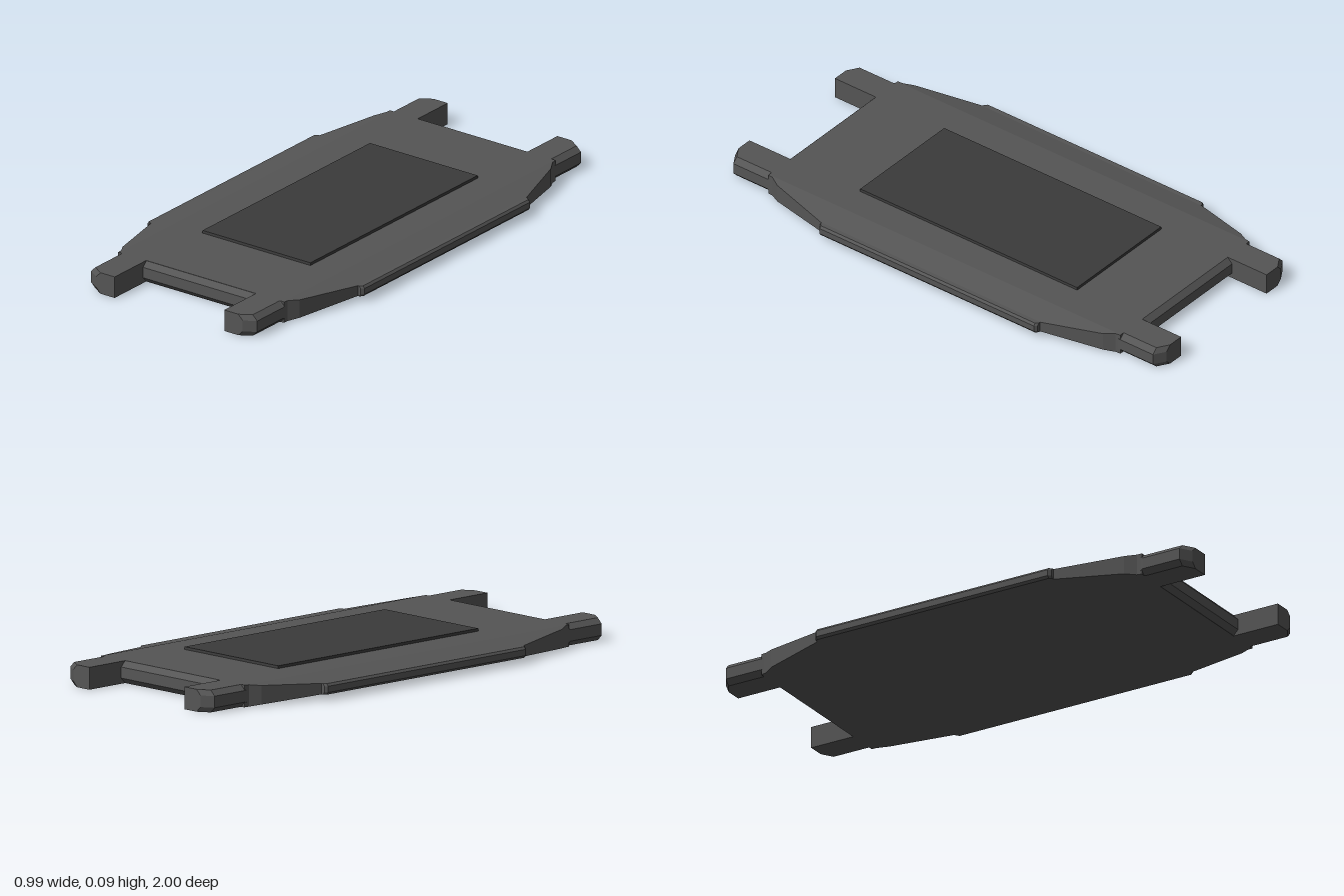
import * as THREE from 'three';

const HEIGHT = 0.083, FLAT = 0.375;
const caseMaterial = new THREE.MeshStandardMaterial({ color: 0x555555, flatShading: true });
const panelMaterial = new THREE.MeshStandardMaterial({ color: 0x3a3a3a, flatShading: true });

// Skins convex cross-sections { z, pts } listed along +z, pts counter-clockwise seen from +z
function loft(name, sections, material = caseMaterial) {
  const pos = [];
  const rings = sections.map(s => s.pts.map(([x, y]) => [x, y, s.z]));
  const tri = (a, b, c) => pos.push(...a, ...b, ...c);
  const n = rings[0].length;
  for (let k = 0; k < rings.length - 1; k++) {
    const a = rings[k], b = rings[k + 1];
    for (let i = 0; i < n; i++) {
      const j = (i + 1) % n;
      tri(a[i], a[j], b[j]);
      tri(a[i], b[j], b[i]);
    }
  }
  const first = rings[0], last = rings[rings.length - 1];
  for (let i = 1; i < n - 1; i++) {
    tri(first[0], first[i + 1], first[i]);
    tri(last[0], last[i], last[i + 1]);
  }
  const geometry = new THREE.BufferGeometry();
  geometry.setAttribute('position', new THREE.Float32BufferAttribute(pos, 3));
  geometry.computeVertexNormals();
  const mesh = new THREE.Mesh(geometry, material);
  mesh.name = name;
  return mesh;
}

const mirrorX = sections => sections.map(s => ({ z: s.z, pts: s.pts.map(([x, y]) => [-x, y]).reverse() }));
const mirrorZ = sections => sections.map(s => ({ z: -s.z, pts: s.pts })).reverse();
const rect = (x0, x1, y0, y1) => [[x0, y0], [x1, y0], [x1, y1], [x0, y1]];

// Body section: flat in the middle, sloping thinner toward the side edges
function bodySection(z, w) {
  const d = (w - FLAT) * 0.22;
  return {
    z,
    pts: [[-FLAT, 0], [FLAT, 0], [w, d], [w, HEIGHT - d],
      [FLAT, HEIGHT], [-FLAT, HEIGHT], [-w, HEIGHT - d], [-w, d]],
  };
}

// Lug section with chamfered outer edges; "inset" pulls in the outer side
function lugSection(z, inset, bevel) {
  const x = 0.379 - inset;
  return {
    z,
    pts: [[0.25, 0], [x - bevel, 0], [x, bevel], [x, HEIGHT - bevel], [x - bevel, HEIGHT], [0.25, HEIGHT]],
  };
}

// Side rail section
function railSection(z, x) {
  return { z, pts: [[0.45, 0.021], [x - 0.007, 0.021], [x, 0.03], [x, 0.053], [x - 0.007, 0.062], [0.45, 0.062]] };
}

export function createModel() {
  const group = new THREE.Group();

  // Main case plate
  const stations = [[-0.82, 0.378], [-0.8, 0.38], [-0.76, 0.403], [-0.52, 0.472],
    [0.49, 0.472], [0.75, 0.403], [0.79, 0.38], [0.81, 0.378]];
  group.add(loft('casePlate', stations.map(([z, w]) => bodySection(z, w))));

  // Bevelled edges between the lugs
  const edge = [
    { z: 0.812, pts: rect(-0.25, 0.25, 0, HEIGHT) },
    { z: 0.832, pts: rect(-0.25, 0.25, 0.021, 0.062) },
  ];
  const frontEdge = loft('frontEdge', edge);
  const backEdge = loft('backEdge', mirrorZ(edge));
  frontEdge.position.z = -0.003;
  backEdge.position.z = -0.008;
  group.add(frontEdge, backEdge);

  // Four strap lugs
  const lug = [lugSection(0.79, 0.001, 0.004), lugSection(0.815, 0, 0.02),
    lugSection(0.972, 0, 0.02), lugSection(1, 0.045, 0.02)];
  group.add(
    loft('frontLeftLug', lug),
    loft('frontRightLug', mirrorX(lug)),
    loft('backLeftLug', mirrorZ(lug)),
    loft('backRightLug', mirrorZ(mirrorX(lug))),
  );

  // Long rails on both sides
  const rail = [railSection(-0.522, 0.485), railSection(-0.512, 0.495),
    railSection(0.48, 0.495), railSection(0.49, 0.485)];
  group.add(loft('leftRail', rail), loft('rightRail', mirrorX(rail)));

  // Raised display panel with a small chamfer around its top
  const panel = new THREE.Mesh(new THREE.BoxGeometry(0.496, 0.02, 1.01), panelMaterial);
  const p = panel.geometry.attributes.position;
  for (let i = 0; i < p.count; i++) {
    if (p.getY(i) > 0) p.setXYZ(i, p.getX(i) * 0.99, p.getY(i), p.getZ(i) * 0.995);
  }
  panel.geometry.computeVertexNormals();
  panel.name = 'displayPanel';
  panel.position.set(0.006, 0.083, -0.017);
  group.add(panel);

  return group;
}
